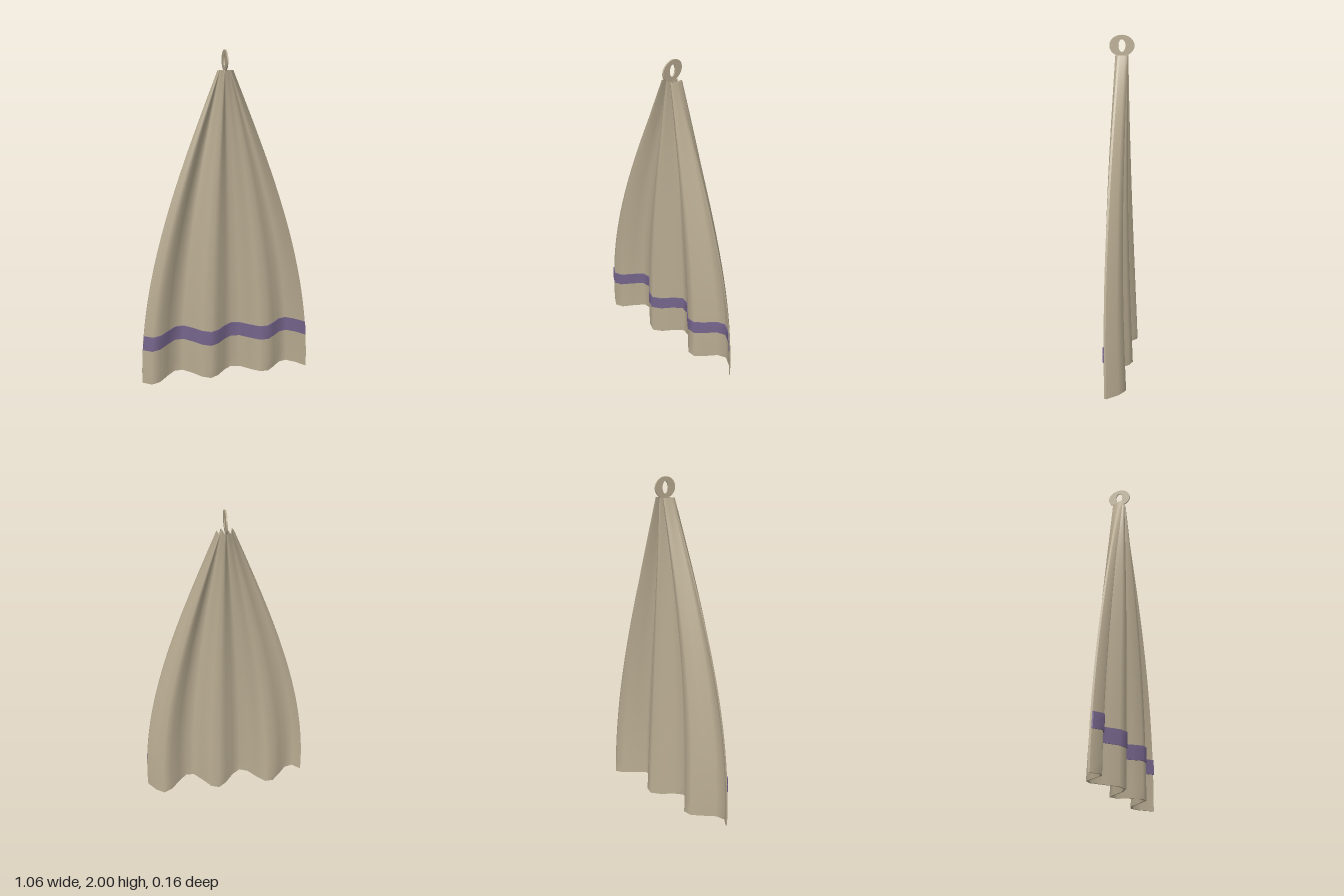
import * as THREE from 'three';
import { mergeGeometries } from 'three/addons/utils/BufferGeometryUtils.js';

const CLOTH_TOP = 1.885;
const FOLDS = 20; // facets across the width

// Point on the draped cloth: u runs across (-x to +x), t runs from top to hem, d is depth offset
function drape(u, t, d) {
  const halfWidth = 0.045 + 0.485 * Math.sin(t * Math.PI / 2);
  const amplitude = 0.032 + 0.04 * t;
  const x = (2 * u - 1) * halfWidth;
  const y = CLOTH_TOP * (1 - t) + 0.006 * t * (1 - Math.cos(4 * Math.PI * u));
  const z = amplitude * Math.sin(6 * Math.PI * u + 0.42) + 0.013 * Math.sin(Math.PI * t) - 0.002 + d;
  return [x, y, z];
}

// Smooth grid of nu by nv cells from a point function
function grid(nu, nv, point) {
  const positions = [], index = [];
  for (let j = 0; j <= nv; j++) {
    for (let i = 0; i <= nu; i++) positions.push(...point(i / nu, j / nv));
  }
  for (let j = 0; j < nv; j++) {
    for (let i = 0; i < nu; i++) {
      const a = j * (nu + 1) + i, b = a + nu + 1;
      index.push(a, b, a + 1, b, b + 1, a + 1);
    }
  }
  const geometry = new THREE.BufferGeometry();
  geometry.setAttribute('position', new THREE.Float32BufferAttribute(positions, 3));
  geometry.setIndex(index);
  geometry.computeVertexNormals();
  return geometry;
}

// Closed sheet of cloth between two heights and two depths
function sheet(t0, t1, back, front, rows) {
  const t = v => t0 + (t1 - t0) * v;
  const d = v => front + (back - front) * v;
  return mergeGeometries([
    grid(FOLDS, rows, (u, v) => drape(u, t(v), front)),
    grid(FOLDS, rows, (u, v) => drape(1 - u, t(v), back)),
    grid(FOLDS, 1, (u, v) => drape(u, t1, d(v))),
    grid(FOLDS, 1, (u, v) => drape(u, t0, d(1 - v))),
    grid(1, rows, (u, v) => drape(1, t(v), d(u))),
    grid(1, rows, (u, v) => drape(0, t(v), d(1 - u))),
  ]);
}

export function createModel() {
  const model = new THREE.Group();
  const tan = new THREE.MeshStandardMaterial({ color: 0xb9ac92 });
  const purple = new THREE.MeshStandardMaterial({ color: 0x75658c });

  const add = (name, geometry, material) => {
    const mesh = new THREE.Mesh(geometry, material);
    mesh.name = name;
    model.add(mesh);
    return mesh;
  };

  // Pleated cloth, gathered at the top
  add('cloth', sheet(0, 1, -0.006, 0.006, 28), tan);

  // Coloured stripe on the front only
  add('stripe', sheet(0.8355, 0.883, 0.004, 0.012, 3), purple);

  // Flat oval hanging loop, standing edge-on to the front
  const oval = new THREE.Shape();
  oval.absellipse(0, 0, 0.072, 0.06, 0, Math.PI * 2);
  const hole = new THREE.Path();
  hole.absellipse(0, 0, 0.021, 0.035, 0, Math.PI * 2, true);
  oval.holes.push(hole);
  const loopGeometry = new THREE.ExtrudeGeometry(oval, { depth: 0.008, bevelEnabled: false, curveSegments: 24 });
  loopGeometry.translate(0, 0, -0.004);
  const loop = add('hangingLoop', loopGeometry, tan);
  loop.rotation.y = Math.PI / 2;
  loop.position.set(0, 1.94, -0.002);

  return model;
}
